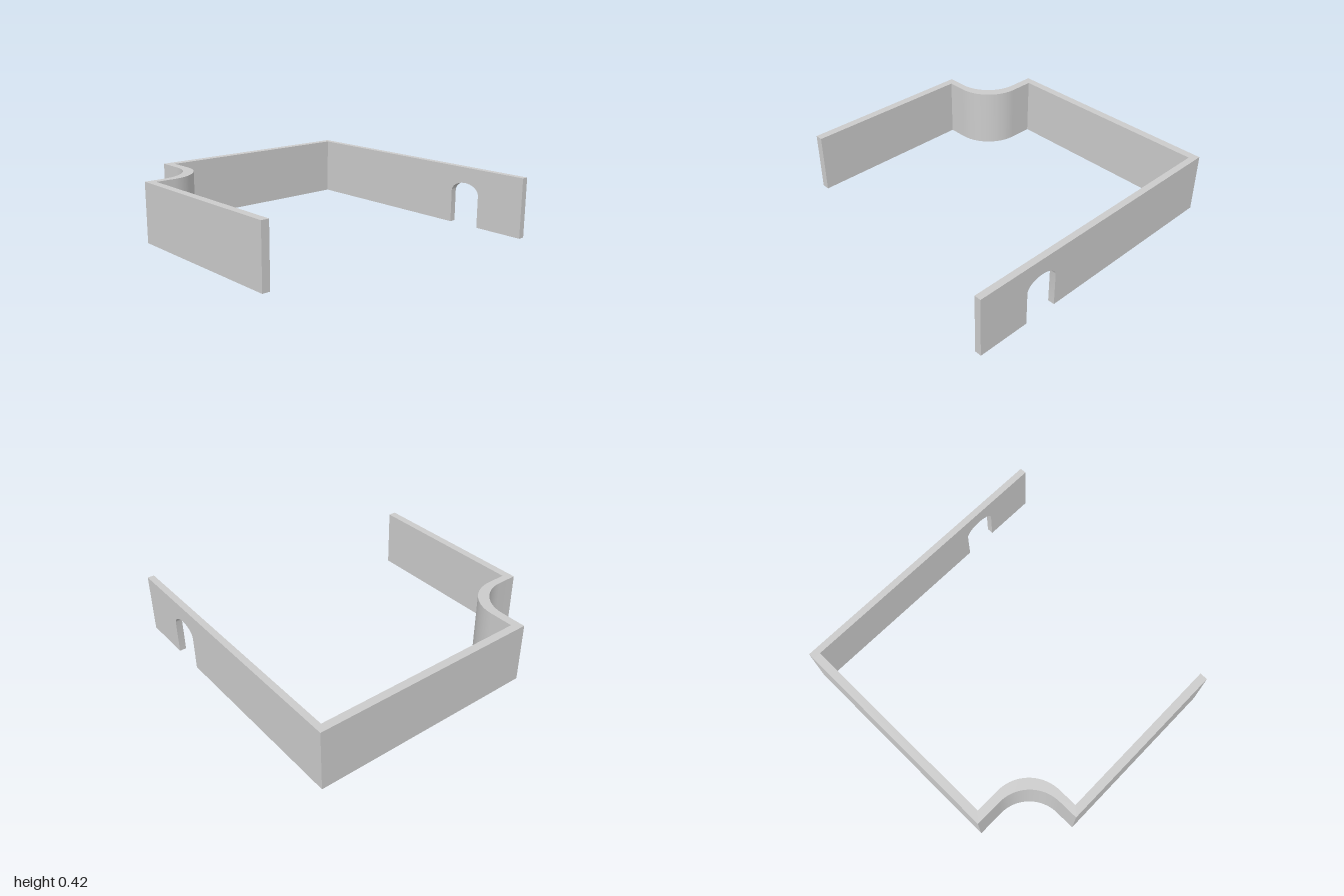
import * as THREE from 'three';
import { toCreasedNormals } from 'three/addons/utils/BufferGeometryUtils.js';

const HEIGHT = 0.417;
const RIGHT_X = 0.995; // outer face of the wall with the doorway
const INNER_X = 0.949; // its inner face

function extrude(shape, depth) {
  return new THREE.ExtrudeGeometry(shape, { depth, bevelEnabled: false, curveSegments: 24 });
}

export function createModel() {
  const group = new THREE.Group();
  group.name = 'wallEnclosure';
  const material = new THREE.MeshStandardMaterial({ color: 0xcccccc });

  const add = (name, geometry) => {
    const mesh = new THREE.Mesh(toCreasedNormals(geometry, 0.5), material);
    mesh.name = name;
    group.add(mesh);
  };

  // Plan of the back wall, curved corner and shorter side wall (shape y = -z)
  const plan = new THREE.Shape();
  plan.moveTo(INNER_X, 1);
  plan.lineTo(-0.592, 1);
  plan.lineTo(-0.592, 0.817);
  plan.absarc(-0.857, 0.817, 0.265, 0, -Math.PI / 2, true);
  plan.lineTo(-0.995, 0.552);
  plan.lineTo(-0.995, -0.7);
  plan.lineTo(-0.94, -0.7);
  plan.lineTo(-0.94, 0.499);
  plan.lineTo(-0.808, 0.499);
  plan.absarc(-0.808, 0.774, 0.275, -Math.PI / 2, 0, false);
  plan.lineTo(-0.533, 0.944);
  plan.lineTo(INNER_X, 0.944);
  plan.closePath();
  add('backAndCurvedWall', extrude(plan, HEIGHT).rotateX(-Math.PI / 2));

  // Long side wall with an arched doorway open to the floor (shape x = -z)
  const door = { from: -0.64, to: -0.405, spring: 0.23, rise: 0.075 };
  const middle = (door.from + door.to) / 2;
  const side = new THREE.Shape();
  side.moveTo(-1, 0);
  side.lineTo(door.from, 0);
  side.lineTo(door.from, door.spring);
  side.absellipse(middle, door.spring, (door.to - door.from) / 2, door.rise, Math.PI, 0, true);
  side.lineTo(door.to, 0);
  side.lineTo(1, 0);
  side.lineTo(1, HEIGHT);
  side.lineTo(-1, HEIGHT);
  side.closePath();
  add('doorwayWall', extrude(side, RIGHT_X - INNER_X).rotateY(Math.PI / 2).translate(INNER_X, 0, 0));

  return group;
}
